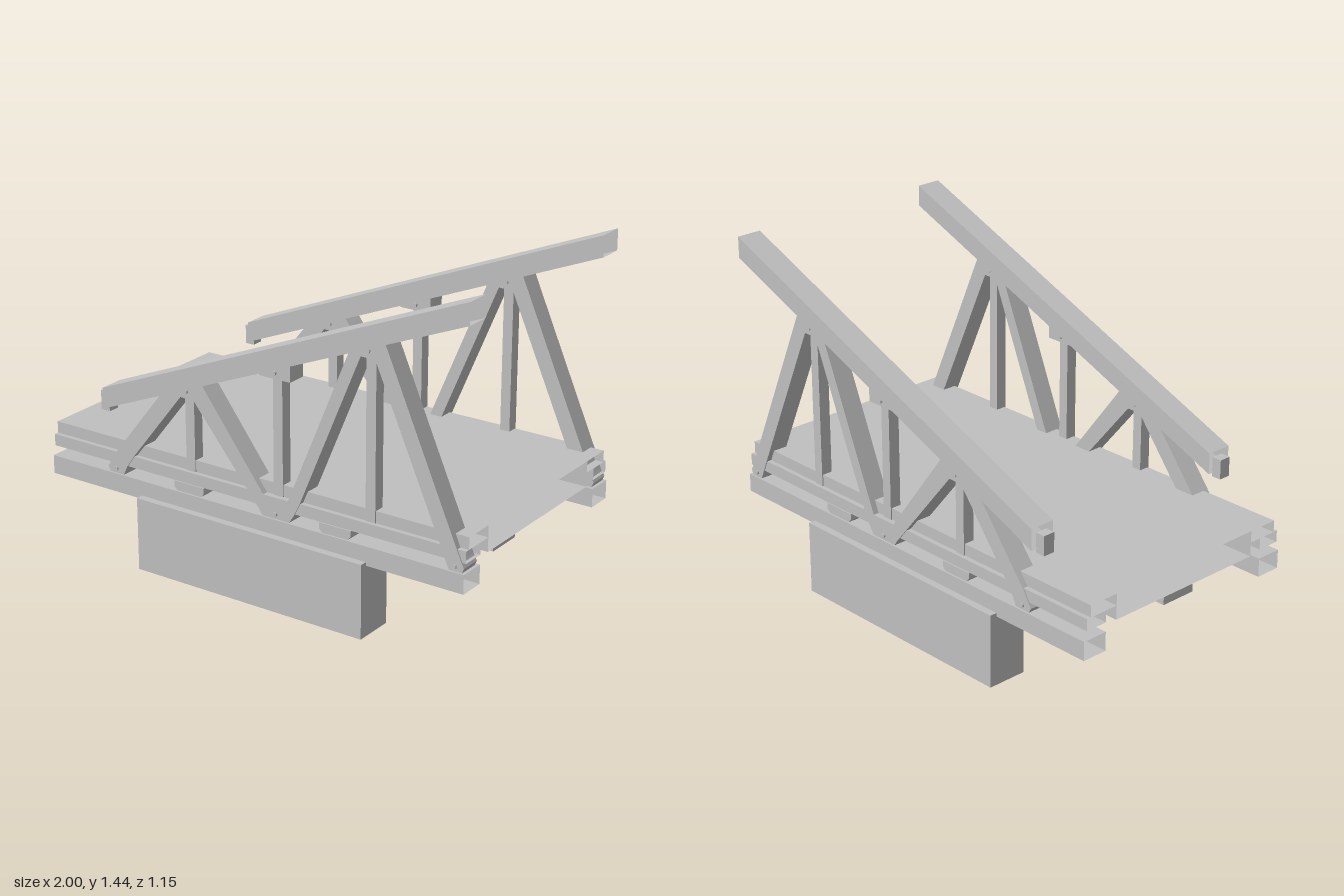
import * as THREE from 'three';

export function createModel() {
  const model = new THREE.Group();
  model.name = 'trussBridgeSection';
  const steel = new THREE.MeshStandardMaterial({ color: 0xc0c0c0, side: THREE.DoubleSide });
  steel.name = 'grey steel';

  const add = (name, geometry, parent) => {
    const mesh = new THREE.Mesh(geometry, steel);
    mesh.name = name;
    parent.add(mesh);
    return mesh;
  };

  // Box given by its limits; z limits are mirrored by the side sign
  const box = (name, parent, x0, x1, y0, y1, z0, z1, side = 1, open = false) => {
    const g = new THREE.BoxGeometry(x1 - x0, y1 - y0, z1 - z0);
    if (open) { // hollow section: drop the two end faces
      g.setIndex(Array.from(g.index.array).slice(12));
      g.clearGroups();
    }
    g.translate((x0 + x1) / 2, (y0 + y1) / 2, side * (z0 + z1) / 2);
    return add(name, g, parent);
  };

  // Flat outline extruded to a plate centred on z
  const plate = (name, parent, points, z, depth) => {
    const shape = new THREE.Shape(points.map(([x, y]) => new THREE.Vector2(x, y)));
    const g = new THREE.ExtrudeGeometry(shape, { depth, bevelEnabled: false });
    g.translate(0, 0, z - depth / 2);
    return add(name, g, parent);
  };

  const slope = 0.407;
  const chordBottom = x => 0.65 + (x + 0.72) * slope;

  // Deck slab, open at both ends
  box('deck', model, -1, 1, 0.41, 0.52, -0.375, 0.375, 1, true);

  for (const side of [1, -1]) {
    const truss = new THREE.Group();
    truss.name = side > 0 ? 'frontTruss' : 'backTruss';
    model.add(truss);
    const z = side * 0.49;

    // Foundation block and longitudinal members
    box('foundationBlock', truss, -0.53, 0.565, 0, 0.315, 0.4, 0.575, side);
    box('lowerRail', truss, -1, 1, 0.3, 0.38, 0.43, 0.543, side, true);
    box('bottomChord', truss, -1, 1, 0.42, 0.47, 0.43, 0.53, side, true);
    box('curb', truss, -1, 1, 0.47, 0.52, 0.375, 0.51, side, true);

    // Sloping top chord with upright cut ends
    const chord = box('topChord', truss, -0.72, 1, 0, 0.09, 0.432, 0.543, side, true);
    const p = chord.geometry.attributes.position;
    for (let i = 0; i < p.count; i++) p.setY(i, p.getY(i) + chordBottom(p.getX(i)));
    chord.geometry.computeVertexNormals();
    box('endBracket', truss, -0.755, -0.712, 0.63, 0.713, 0.46, 0.512, side);

    // Pairs of diagonals, each joined at the head
    plate('shortDiagonals', truss, [
      [-0.71, 0.4], [-0.67, 0.465], [-0.43, chordBottom(-0.43)], [-0.215, chordBottom(-0.215)],
      [0.08, 0.465], [0.12, 0.41], [0.05, 0.41], [0, 0.47], [-0.26, 0.785], [-0.325, 0.785],
      [-0.575, 0.47], [-0.61, 0.42], [-0.635, 0.365], [-0.69, 0.365]], z, 0.09);
    plate('tallDiagonals', truss, [
      [0.15, 0.38], [0.195, 0.47], [0.475, 1.136], [0.64, chordBottom(0.64)], [0.98, 0.43],
      [0.995, 0.4], [0.98, 0.365], [0.935, 0.365], [0.89, 0.47], [0.595, 1.135],
      [0.53, 1.135], [0.25, 0.47], [0.22, 0.41]], z, 0.09);
    plate('middleGusset', truss, [
      [0.045, 0.42], [0.08, 0.365], [0.19, 0.365], [0.225, 0.42], [0.25, 0.47], [0.02, 0.47]], z, 0.09);
    plate('postCap', truss, [
      [0.06, 0.96], [0.207, 0.96], [0.207, chordBottom(0.207)], [0.06, chordBottom(0.06)]], z, 0.085);

    // Upright posts
    for (const [x, top] of [[-0.295, 0.785], [0.135, 0.96], [0.565, 1.135]])
      box('post', truss, x - 0.022, x + 0.022, 0.47, top, 0.465, 0.515, side);

    // Spacer pads between the bottom chord and the lower rail
    for (const x of [-0.292, 0.415])
      plate('spacerPad', truss, [
        [x - 0.074, 0.42], [x - 0.074, 0.395], [x - 0.055, 0.375],
        [x + 0.055, 0.375], [x + 0.074, 0.395], [x + 0.074, 0.42]], z, 0.09);

    // Connection pins at heads and feet
    for (const [x, y] of [[-0.295, 0.815], [0.135, 0.985], [0.565, 1.165],
      [-0.665, 0.4], [0.135, 0.4], [0.955, 0.4]]) {
      const g = new THREE.CylinderGeometry(0.009, 0.009, 0.106, 10);
      g.rotateX(Math.PI / 2);
      g.translate(x, y, z);
      add('pin', g, truss);
    }
  }
  return model;
}
